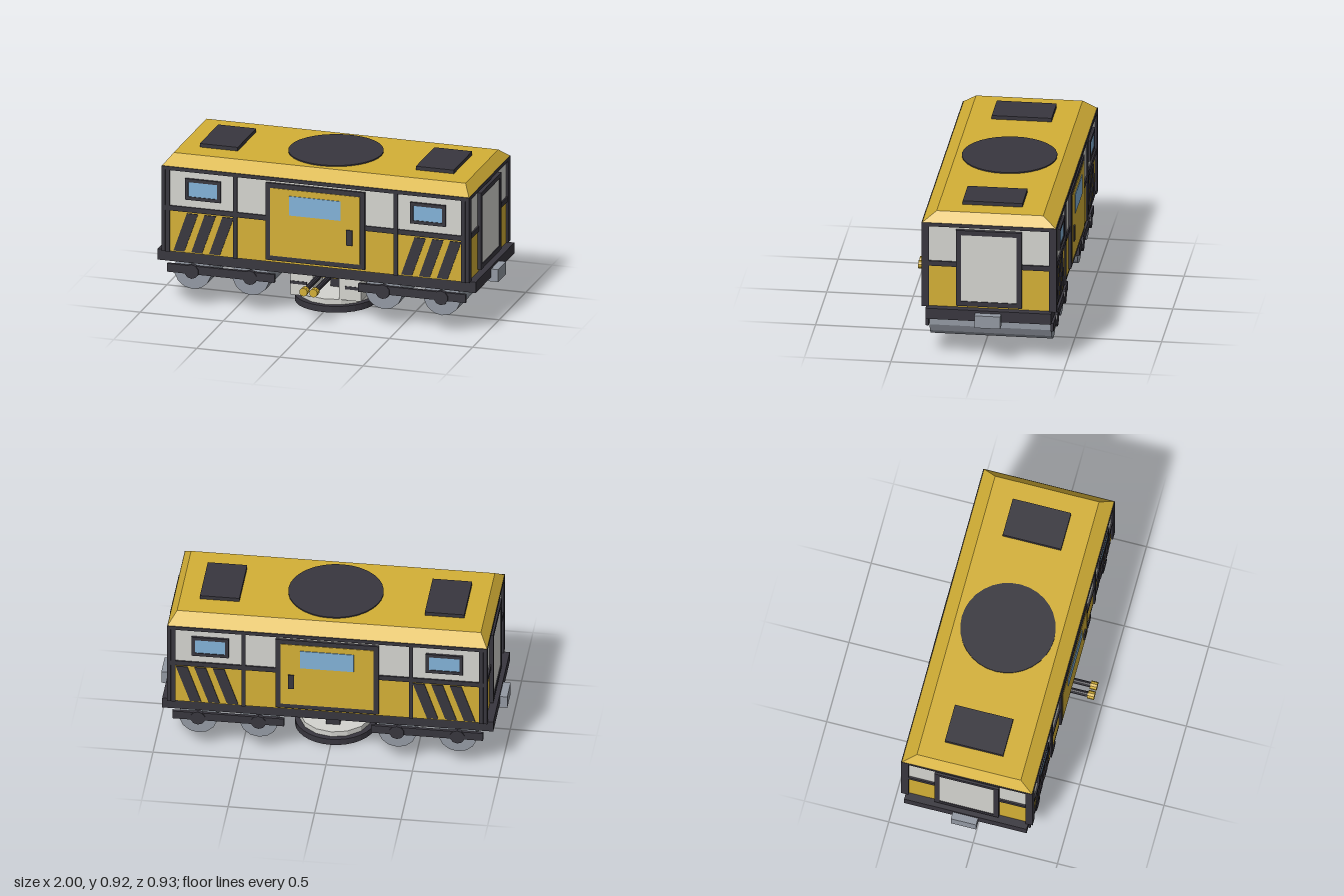
import * as THREE from 'three';

const mat = (name, color) => {
  const m = new THREE.MeshStandardMaterial({ color, flatShading: true });
  m.name = name;
  return m;
};

export function createModel() {
  const gold = mat('gold paint', 0xd4b036);
  const pale = mat('pale grey panel', 0xd4d4cf);
  const dark = mat('dark frame', 0x38363e);
  const steel = mat('steel', 0x9399a3);
  const blue = mat('window blue', 0x82b2d8);
  const C = -0.057; // middle of the carriage in z
  const model = new THREE.Group();
  model.name = 'railCar';

  const add = (name, geo, m, x = 0, y = 0, z = 0) => {
    const mesh = new THREE.Mesh(geo, m);
    mesh.name = name;
    mesh.position.set(x, y, z);
    model.add(mesh);
    return mesh;
  };
  // box from its limits; z is measured from the carriage middle
  const box = (name, m, x0, x1, y0, y1, z0, z1) =>
    add(name, new THREE.BoxGeometry(x1 - x0, y1 - y0, Math.abs(z1 - z0)), m,
      (x0 + x1) / 2, (y0 + y1) / 2, C + (z0 + z1) / 2);
  // box on a long side, s = 1 front, s = -1 back
  const sideBox = (name, m, s, x0, x1, y0, y1, d0, d1) => box(name, m, x0, x1, y0, y1, s * d0, s * d1);
  // box on an end, s = 1 left end, s = -1 right end
  const endBox = (name, m, s, d0, d1, y0, y1, z0, z1) =>
    box(name, m, Math.min(s * d0, s * d1), Math.max(s * d0, s * d1), y0, y1, z0, z1);
  // four bars forming a rectangular frame
  const ring = (put, a0, a1, y0, y1, t) => {
    put(a0, a1, y0, y0 + t);
    put(a0, a1, y1 - t, y1);
    put(a0, a0 + t, y0 + t, y1 - t);
    put(a1 - t, a1, y0 + t, y1 - t);
  };
  const disc = (name, m, r, y0, y1, n) =>
    add(name, new THREE.CylinderGeometry(r, r, y1 - y0, n), m, 0, (y0 + y1) / 2, C);
  // cylinder lying along z, with a corner at the bottom
  const rod = (name, m, r, x, y, z0, z1, n) => {
    const g = new THREE.CylinderGeometry(r, r, z1 - z0, n);
    g.rotateX(Math.PI / 2);
    return add(name, g, m, x, y, (z0 + z1) / 2);
  };

  // body
  box('lowerBody', gold, -0.912, 0.912, 0.325, 0.59, -0.38, 0.38);
  box('upperBody', pale, -0.912, 0.912, 0.59, 0.838, -0.38, 0.38);
  box('underframe', dark, -0.957, 0.957, 0.26, 0.325, -0.363, 0.363);
  box('topRail', dark, -0.925, 0.925, 0.82, 0.842, -0.39, 0.39);

  // roof: box with its top drawn inward
  const roof = new THREE.BoxGeometry(1.85, 0.06, 0.776);
  const p = roof.attributes.position;
  for (let i = 0; i < p.count; i++) {
    if (p.getY(i) > 0) p.setXYZ(i, Math.sign(p.getX(i)) * 0.878, 0.03, Math.sign(p.getZ(i)) * 0.308);
  }
  roof.computeVertexNormals();
  add('roof', roof, gold, 0, 0.87, C);
  disc('roofDisc', dark, 0.274, 0.895, 0.907, 32);
  for (const s of [-1, 1]) {
    box('roofHatch', dark, s * 0.65 - 0.114, s * 0.65 + 0.114, 0.895, 0.922, -0.173, 0.173);
  }

  // slanted warning stripe
  const stripe = new THREE.Shape();
  stripe.moveTo(0, 0.333);
  stripe.lineTo(0.065, 0.333);
  stripe.lineTo(0.147, 0.566);
  stripe.lineTo(0.08, 0.566);
  const stripeGeo = new THREE.ExtrudeGeometry(stripe, { depth: 0.008, bevelEnabled: false });
  stripeGeo.translate(0, 0, -0.004);

  // both long sides
  for (const s of [1, -1]) {
    sideBox('waistRail', dark, s, -0.912, 0.912, 0.575, 0.605, 0.37, 0.388);
    for (const x of [-0.89, -0.484, 0.484, 0.89]) {
      sideBox('sidePost', dark, s, x - 0.012, x + 0.012, 0.325, 0.83, 0.37, 0.39);
    }
    for (const x0 of [-0.855, 0.515]) {
      for (let i = 0; i < 3; i++) {
        add('warningStripe', stripeGeo, dark, x0 + i * 0.107, 0, C + s * 0.381);
      }
    }
    // small windows
    for (const x of [-0.677, 0.677]) {
      ring((a, b, c, d) => sideBox('windowFrame', dark, s, a, b, c, d, 0.375, 0.393), x - 0.107, x + 0.107, 0.652, 0.78, 0.02);
      sideBox('window', blue, s, x - 0.088, x + 0.088, 0.67, 0.762, 0.38, 0.389);
    }
    // sliding door
    ring((a, b, c, d) => sideBox('doorFrame', dark, s, a, b, c, d, 0.37, 0.394), -0.298, 0.298, 0.34, 0.808, 0.029);
    sideBox('slidingDoor', gold, s, -0.269, 0.269, 0.369, 0.779, 0.37, 0.397);
    sideBox('doorWindow', blue, s, -0.155, 0.155, 0.625, 0.742, 0.395, 0.401);
    sideBox('doorHandle', dark, s, 0.19, 0.225, 0.48, 0.573, 0.395, 0.405);
    // bogie side frames
    for (const x of [-0.575, 0.575]) {
      sideBox('bogieFrame', dark, s, x - 0.323, x + 0.323, 0.195, 0.245, 0.352, 0.37);
    }
  }

  // both ends
  for (const s of [1, -1]) {
    for (const z of [-0.3685, 0.3685]) {
      endBox('cornerPost', dark, s, 0.905, 0.925, 0.325, 0.83, z - 0.0215, z + 0.0215);
    }
    endBox('endRail', dark, s, 0.905, 0.922, 0.575, 0.605, -0.35, 0.35);
    ring((a, b, c, d) => endBox('endDoorFrame', dark, s, 0.9, 0.934, c, d, a, b), -0.19, 0.19, 0.34, 0.807, 0.029);
    endBox('endDoor', pale, s, 0.9, 0.929, 0.369, 0.778, -0.161, 0.161);
    endBox('coupler', steel, s, 0.94, 1, 0.235, 0.31, -0.075, 0.075);
  }

  // wheel drums and axle caps
  for (const x of [-0.75, -0.4, 0.4, 0.75]) {
    rod('wheelDrum', steel, 0.112, x, 0.211, C - 0.352, C + 0.352, 14);
    for (const s of [-1, 1]) rod('axleCap', dark, 0.043, x, 0.212, C + s * 0.365 - 0.012, C + s * 0.365 + 0.012, 10);
  }

  // turntable foot and its supports
  disc('footPlate', dark, 0.236, 0, 0.038, 32);
  disc('footRing', pale, 0.207, 0.038, 0.07, 14);
  for (const s of [-1, 1]) {
    const x = s * 0.145;
    box('supportLeg', pale, x - 0.067, x + 0.067, 0.07, 0.262, 0.002, 0.19);
    box('legBand', dark, x - 0.05 + s * 0.02, x + 0.05 + s * 0.02, 0.137, 0.155, 0, 0.193);
  }
  box('rearColumn', dark, -0.04, 0.04, 0.07, 0.262, -0.128, -0.018);
  box('gunMount', gold, -0.058, 0.058, 0.178, 0.258, -0.02, 0.15);

  // twin nozzles
  for (const x of [-0.03, 0.03]) {
    rod('barrel', dark, 0.016, x, 0.212, 0.08, 0.44, 10);
    rod('muzzle', gold, 0.025, x, 0.212, 0.425, 0.465, 10);
  }
  return model;
}
